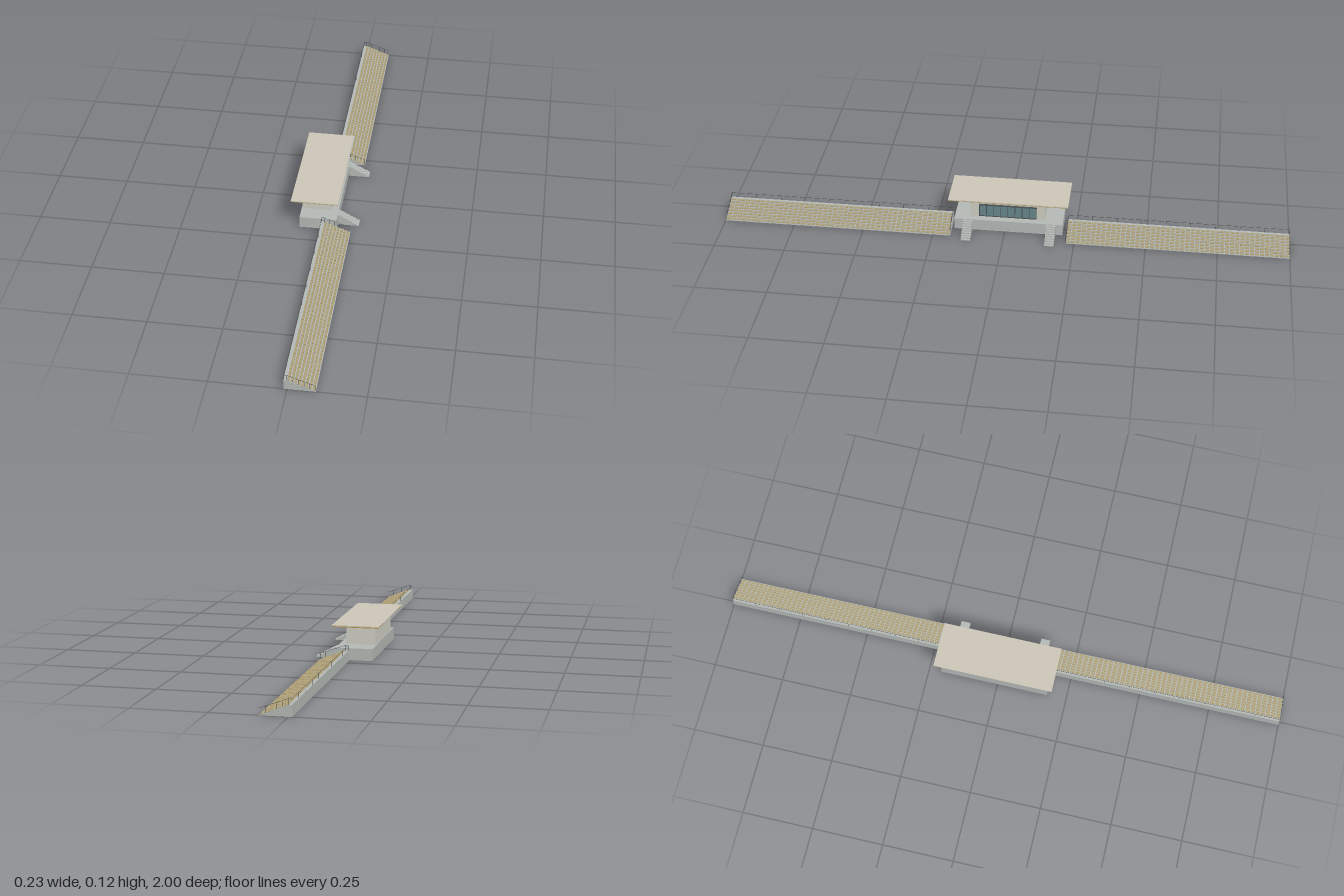
import * as THREE from 'three';
import { mergeGeometries } from 'three/addons/utils/BufferGeometryUtils.js';

const mat = (color) => new THREE.MeshStandardMaterial({ color });
const concrete = mat(0xb4b9b6), wall = mat(0xcfcec2), roofTop = mat(0xcbc6b6);
const wood = mat(0xb8964e), seatMat = mat(0xb0a074), metal = mat(0x4a5052), glass = mat(0x66868a);

// Box geometry given by its minimum and maximum corners
function box(x0, x1, y0, y1, z0, z1) {
  return new THREE.BoxGeometry(x1 - x0, y1 - y0, z1 - z0)
    .translate((x0 + x1) / 2, (y0 + y1) / 2, (z0 + z1) / 2);
}

// Solid flight of steps descending towards +x, extruded along z
function steps(x0, x1, yTop, yLow, count, z0, z1) {
  const s = new THREE.Shape();
  s.moveTo(x0, 0);
  for (let i = 0; i < count; i++) {
    const y = yTop + (yLow - yTop) * i / (count - 1);
    s.lineTo(x0 + (x1 - x0) * i / count, y);
    s.lineTo(x0 + (x1 - x0) * (i + 1) / count, y);
  }
  s.lineTo(x1, 0);
  return new THREE.ExtrudeGeometry(s, { depth: z1 - z0, bevelEnabled: false }).translate(0, 0, z0);
}

// Thin round bar between two points
function bar(a, b, r = 0.0006) {
  return new THREE.TubeGeometry(new THREE.LineCurve3(new THREE.Vector3(...a), new THREE.Vector3(...b)), 1, r, 5);
}

function add(group, name, geometries, material) {
  const list = [].concat(geometries);
  const mesh = new THREE.Mesh(list.length > 1 ? mergeGeometries(list) : list[0], material);
  mesh.name = name;
  group.add(mesh);
}

// One long grandstand between z0 and z1
function grandstand(name, z0, z1) {
  const g = new THREE.Group();
  g.name = name;
  const rows = 8, xBack = 0, xFront = 0.09, yTop = 0.034, yLow = 0.003;
  const run = (xFront - xBack) / rows;
  add(g, 'terrace', steps(xBack, xFront, yTop, yLow, rows, z0, z1), concrete);
  add(g, 'backWall', box(-0.011, xBack, 0, 0.037, z0, z1), concrete);

  // Rows of separate seats
  const seats = [], columns = 45, pitch = (z1 - z0) / columns;
  for (let r = 0; r < rows; r++) {
    const y = yTop + (yLow - yTop) * r / (rows - 1), x = xBack + r * run;
    for (let c = 0; c < columns; c++) {
      const z = z0 + c * pitch;
      seats.push(box(x + 0.001, x + run * 0.72, y, y + 0.0028, z + pitch * 0.1, z + pitch * 0.9));
    }
  }
  add(g, 'seats', seats, seatMat);

  // Railing along the back
  const rails = [], posts = 9, xr = -0.0095;
  for (let i = 0; i <= posts; i++) {
    const z = z0 + 0.002 + (z1 - z0 - 0.004) * i / posts;
    rails.push(bar([xr, 0.036, z], [xr, 0.055, z]));
  }
  rails.push(bar([xr, 0.055, z0 + 0.002], [xr, 0.055, z1 - 0.002]));
  // Sloping railings at both ends
  for (const z of [z0 + 0.002, z1 - 0.002]) {
    rails.push(bar([xr, 0.055, z], [0, 0.055, z]), bar([0, 0.055, z], [0.089, 0.023, z]));
    for (let i = 0; i <= 5; i++) {
      const t = i / 5;
      rails.push(bar([0.089 * t, 0.034 - 0.031 * t, z], [0.089 * t, 0.055 - 0.032 * t, z]));
    }
  }
  add(g, 'railing', rails, metal);
  return g;
}

function pavilion() {
  const g = new THREE.Group();
  g.name = 'pavilion';
  add(g, 'plinth', box(-0.09, 0.04, 0, 0.042, -0.205, 0.18), concrete);
  add(g, 'walls', box(-0.088, 0.015, 0.042, 0.117, -0.14, 0.125), wall);
  // Oversailing roof with timber soffit
  add(g, 'soffit', box(-0.113, 0.045, 0.117, 0.1205, -0.221, 0.197), wood);
  add(g, 'roof', box(-0.116, 0.048, 0.1205, 0.124, -0.224, 0.2), roofTop);

  // Glazed front with mullions
  const z0 = -0.11, z1 = 0.092, bays = 8;
  add(g, 'window', box(0.015, 0.019, 0.048, 0.093, z0, z1), glass);
  const frame = [box(0.015, 0.022, 0.047, 0.049, z0, z1), box(0.015, 0.022, 0.092, 0.094, z0, z1)];
  for (let i = 0; i <= bays; i++) {
    const z = z0 + (z1 - z0) * i / bays;
    frame.push(box(0.015, 0.022, 0.047, 0.094, z - 0.001, z + 0.001));
  }
  add(g, 'windowFrame', frame, metal);

  // Two flights of stairs down to the field
  for (const [name, z] of [['leftStairs', 0.131], ['rightStairs', -0.164]])
    add(g, name, steps(0.04, 0.114, 0.039, 0.003, 9, z - 0.0165, z + 0.0165), concrete);
  return g;
}

export function createModel() {
  const model = new THREE.Group();
  model.name = 'stadiumStand';
  model.add(pavilion(), grandstand('nearGrandstand', 0.188, 1), grandstand('farGrandstand', -1, -0.22));
  return model;
}
